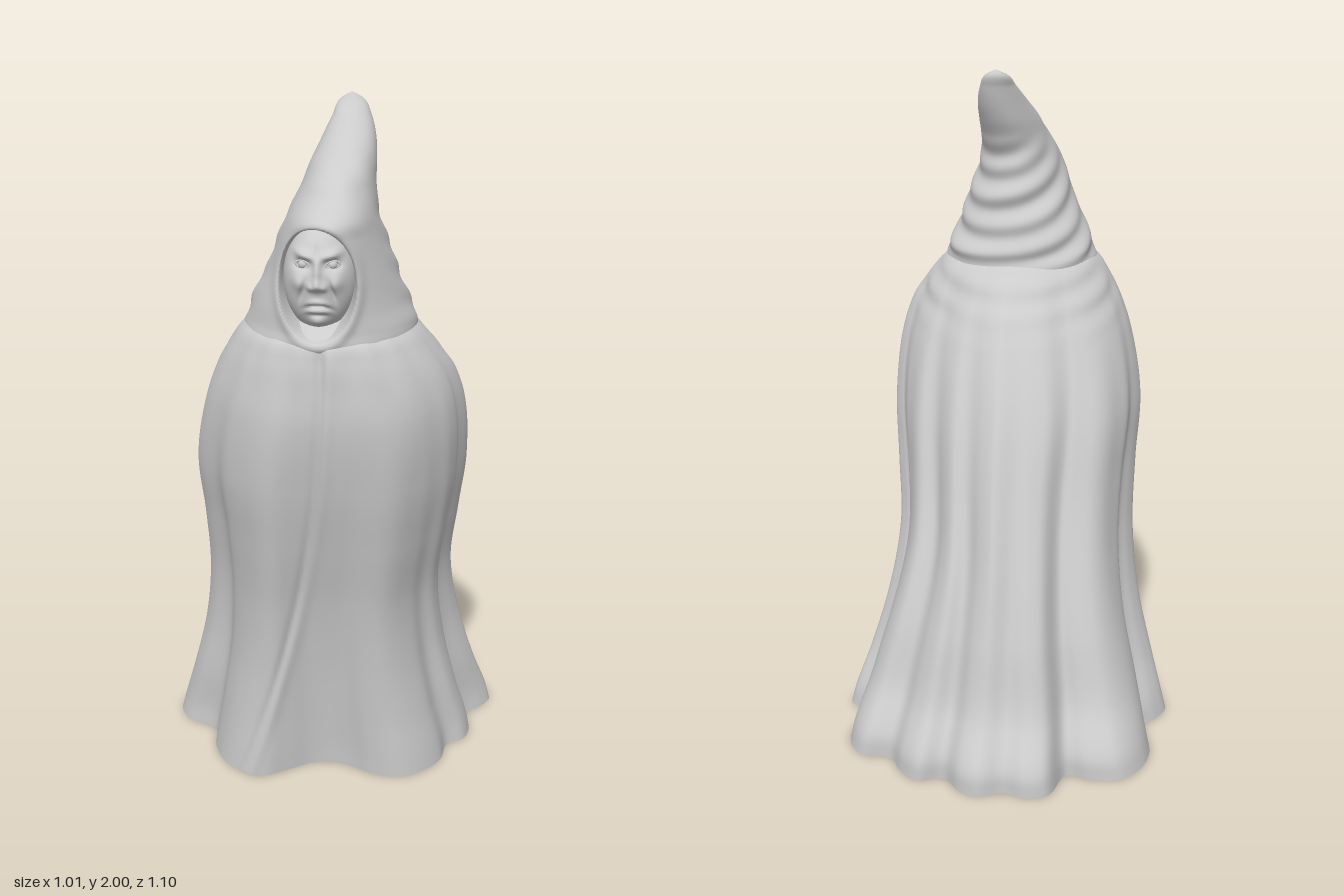
import * as THREE from 'three';

const material = new THREE.MeshStandardMaterial({ color: 0xcccccc, side: THREE.DoubleSide });
const gauss = (d, s) => Math.exp(-(d * d) / (s * s));
const smooth = THREE.MathUtils.smoothstep;

function addMesh(group, name, geometry) {
  const mesh = new THREE.Mesh(geometry, material);
  mesh.name = name;
  group.add(mesh);
  return mesh;
}

// Section table rows: [y, xRight, xLeft, zBack, zFront] -> centre and half sizes at any height
function sectionTable(rows) {
  const curve = new THREE.CubicInterpolant(rows.map(r => r[0]), rows.flatMap(r => r.slice(1)), 4);
  return y => {
    const [x0, x1, z0, z1] = curve.evaluate(y);
    return { cx: (x0 + x1) / 2, cz: (z0 + z1) / 2, a: (x1 - x0) / 2, b: (z1 - z0) / 2 };
  };
}

// Closed rings stacked upwards, each running back -> +x -> front -> -x
function loft(cols, rows, y0, y1, point) {
  const pos = [], index = [];
  for (let j = 0; j <= rows; j++)
    for (let i = 0; i < cols; i++) pos.push(...point(i / cols, y0 + (y1 - y0) * j / rows));
  for (let j = 0; j < rows; j++)
    for (let i = 0; i < cols; i++) {
      const p = j * cols + i, q = j * cols + (i + 1) % cols;
      index.push(p, p + cols, q, q, p + cols, q + cols);
    }
  const g = new THREE.BufferGeometry();
  g.setAttribute('position', new THREE.Float32BufferAttribute(pos, 3));
  g.setIndex(index);
  g.computeVertexNormals();
  return g;
}

// Lobed outline of the hem on the ground (x, z)
const hem = new THREE.CatmullRomCurve3([
  [0, -0.55], [0.06, -0.53], [0.12, -0.475], [0.19, -0.5], [0.25, -0.46], [0.3, -0.395],
  [0.39, -0.39], [0.44, -0.33], [0.45, -0.25], [0.42, -0.155], [0.46, -0.13], [0.505, -0.09],
  [0.48, -0.04], [0.41, 0.03], [0.435, 0.08], [0.42, 0.15], [0.365, 0.19], [0.345, 0.27],
  [0.29, 0.335], [0.22, 0.37], [0.14, 0.36], [0.07, 0.325], [0.01, 0.31], [-0.05, 0.32],
  [-0.12, 0.36], [-0.19, 0.395], [-0.26, 0.38], [-0.32, 0.33], [-0.36, 0.25], [-0.375, 0.16], [-0.47, 0.11],
  [-0.505, 0.04], [-0.48, -0.03], [-0.425, -0.1], [-0.47, -0.2], [-0.46, -0.31], [-0.4, -0.395],
  [-0.31, -0.41], [-0.24, -0.4], [-0.2, -0.51], [-0.14, -0.535], [-0.07, -0.52],
].map(([x, z]) => new THREE.Vector3(x, 0, z)), true);
const COLS = 240;
const hemPoints = hem.getPoints(COLS).slice(0, COLS);

const cloakSection = sectionTable([
  [0, -0.505, 0.505, -0.54, 0.4], [0.06, -0.49, 0.49, -0.535, 0.402], [0.2, -0.45, 0.442, -0.455, 0.405],
  [0.4, -0.4, 0.388, -0.4, 0.42], [0.6, -0.375, 0.363, -0.34, 0.447], [0.8, -0.375, 0.38, -0.27, 0.49],
  [1, -0.382, 0.397, -0.19, 0.53], [1.2, -0.345, 0.38, -0.085, 0.55], [1.3, -0.308, 0.345, -0.02, 0.542],
  [1.38, -0.262, 0.288, 0.045, 0.53], [1.43, -0.222, 0.24, 0.092, 0.51], [1.48, -0.13, 0.14, 0.2, 0.42],
]);

// Folds follow the hem at the bottom and die out towards the shoulders
function cloakPoint(u, y) {
  const h = hemPoints[Math.round(u * COLS) % COLS];
  const hx = h.x / 0.505, hz = (h.z + 0.07) / 0.47, len = Math.hypot(hx, hz);
  const ex = hx / len, ez = hz / len, s = cloakSection(y);
  const w = Math.pow(Math.max(0, 1 - y / 1.46), 0.9);
  const t = Math.atan2(ex, ez);
  let k = 1 + (len - 1) * w;
  k += 0.008 * Math.sin(t * 14 + 1) * smooth(y, 0.2, 0.7) * (1 - smooth(y, 1, 1.3));
  // Back narrows behind the shoulders, more on the +x side
  const corner = 2 * Math.abs(ex) * Math.max(0, -ez);
  k -= corner * (ex > 0 ? 0.13 : 0.07) * smooth(y, 0.25, 0.8) * (1 - smooth(y, 1.28, 1.42));
  // Gathers under the chin and cowl drapes hanging behind the neck
  k += 0.01 * Math.sin(t * 19) * gauss(y - 1.38, 0.07) * smooth(ez, 0.5, 0.9);
  k += 0.016 * Math.sin((y - 0.1 * ez) * 2 * Math.PI / 0.085) * gauss(y - 1.36, 0.09) * smooth(-ez, -0.3, 0.6);
  const x = s.cx + s.a * ex * k;
  let z = s.cz + s.b * ez * k;
  // Front opening, drifting sideways as it falls
  if (ez > 0) {
    const d = 1.4 - y, seam = -0.13 * d * d;
    z += (0.006 * gauss(x - seam - 0.018, 0.02) - 0.009 * gauss(x - seam, 0.012)) * (1 - smooth(y, 1.38, 1.44));
  }
  return [x, y, z];
}

const hoodSection = sectionTable([
  [1.38, -0.22, 0.23, 0.085, 0.5], [1.41, -0.228, 0.243, 0.08, 0.514], [1.45, -0.217, 0.24, 0.083, 0.512],
  [1.5, -0.2, 0.218, 0.09, 0.515], [1.6, -0.153, 0.182, 0.106, 0.525], [1.7, -0.115, 0.147, 0.118, 0.536],
  [1.74, -0.097, 0.136, 0.119, 0.535], [1.8, -0.068, 0.128, 0.1, 0.465], [1.85, -0.048, 0.126, 0.075, 0.4],
  [1.9, -0.024, 0.121, 0.056, 0.3], [1.95, 0, 0.104, 0.042, 0.185], [1.985, 0.018, 0.08, 0.034, 0.1],
  [2, 0.047, 0.048, 0.044, 0.045],
]);

// Pointed hood: slanting wrinkles behind, a sunken opening and rim in front
function hoodPoint(u, y) {
  const s = hoodSection(y), t = u * Math.PI * 2;
  const blunt = v => Math.sign(v) * Math.pow(Math.abs(v), 0.94);
  const ex = blunt(Math.sin(t)), ez = -blunt(Math.cos(t));
  const back = smooth(-ez, -0.6, 0.8), crown = gauss(y - 1.82, 0.05) * smooth(ez, -0.4, 0.8);
  const phase = (y - 0.09 * ez + 0.035 * Math.sin(t)) * 2 * Math.PI / 0.085;
  const fade = smooth(y, 1.4, 1.46) * (1 - smooth(y, 1.72, 1.82));
  const wave = Math.sin(phase) + 0.35 * Math.sin(phase * 0.55 + 2 * ex);
  const k = 1 + 0.032 * wave * back * fade + 0.022 * Math.sin(phase) * crown;
  const x = s.cx + s.a * ex * k * (1 - 0.06 * Math.max(0, ez));
  let z = s.cz + s.b * ez * k;
  if (ez > 0) {
    const r = Math.hypot((x + 0.01) / 0.097, (y - 1.58) / 0.145);
    z += 0.008 * gauss(r - 1.14, 0.12) - 0.1 * (1 - smooth(r, 0.9, 1.06));
  }
  return [x, y, z];
}

// Relief height of the face, in face coordinates
function faceRelief(x, y) {
  const m = Math.abs(x), bump = (cx, cy, sx, sy, h) => h * gauss(m - cx, sx) * gauss(y - cy, sy);
  const my = y + 7 * x * x;
  return bump(0.036, 0.076 + 0.2 * (m - 0.036), 0.026, 0.011, 0.014)
    + bump(0.038, 0.05, 0.022, 0.013, -0.018)
    + bump(0, 0.035, 0.01, 0.035, 0.014) + bump(0, 0.002, 0.014, 0.014, 0.018)
    + bump(0.017, -0.004, 0.009, 0.009, 0.012)
    + bump(0.05, 0.005, 0.018, 0.022, 0.012)
    + bump(0.03 + 0.3 * (0.01 - y), -0.02, 0.006, 0.028, -0.011)
    + bump(0, 0.085, 0.006, 0.02, -0.006)
    + gauss(m, 0.026) * (0.01 * gauss(my + 0.045, 0.008) - 0.014 * gauss(my + 0.056, 0.005) + 0.012 * gauss(my + 0.068, 0.008))
    + bump(0, -0.082, 0.02, 0.006, -0.006) + bump(0, -0.103, 0.022, 0.016, 0.012);
}

function buildFace() {
  const face = new THREE.Group();
  face.name = 'face';
  face.position.set(-0.01, 1.578, 0.402);
  const g = new THREE.SphereGeometry(1, 120, 90);
  g.scale(0.096, 0.145, 0.1);
  const p = g.attributes.position;
  for (let i = 0; i < p.count; i++)
    if (p.getZ(i) > 0) p.setZ(i, p.getZ(i) + faceRelief(p.getX(i), p.getY(i)) * smooth(p.getZ(i), 0, 0.05));
  g.computeVertexNormals();
  addMesh(face, 'faceSkin', g);
  // Eyes with lids
  for (const side of [-1, 1]) {
    const eye = addMesh(face, 'eyeball', new THREE.SphereGeometry(0.013, 20, 14));
    eye.position.set(side * 0.038, 0.05, 0.069);
    const lid = addMesh(face, 'eyelid', new THREE.TorusGeometry(0.015, 0.0035, 8, 28));
    lid.position.set(side * 0.038, 0.05, 0.075);
    lid.scale.set(1.25, 0.65, 1);
    lid.rotation.set(0, side * 0.35, side * 0.12);
  }
  return face;
}

export function createModel() {
  const model = new THREE.Group();
  model.name = 'hoodedFigure';

  addMesh(model, 'cloak', loft(COLS, 100, 0, 1.48, cloakPoint));

  // Flat underside
  const outline = new THREE.Shape(hemPoints.map((_, i) => {
    const [x, , z] = cloakPoint(i / COLS, 0);
    return new THREE.Vector2(x, z);
  }));
  addMesh(model, 'base', new THREE.ShapeGeometry(outline).rotateX(Math.PI / 2));

  addMesh(model, 'hood', loft(200, 150, 1.38, 2, hoodPoint));
  model.add(buildFace());
  return model;
}
